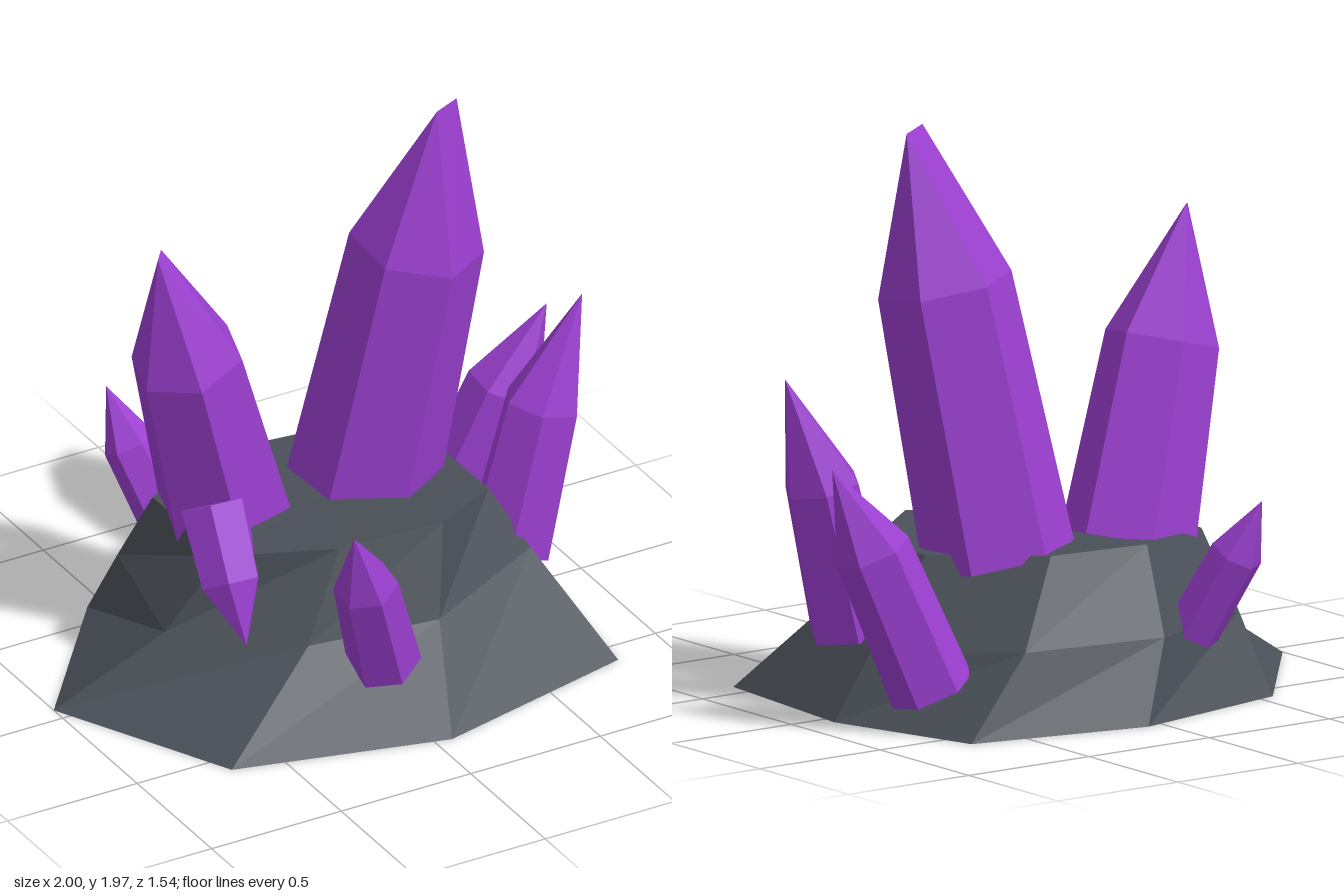
import * as THREE from 'three';

const V = (p) => new THREE.Vector3(...p);

// Skins a stack of equal-length rings with flat facets and caps both ends.
function loft(rings) {
  const pos = [];
  const tri = (a, b, c) => {
    const area = b.clone().sub(a).cross(c.clone().sub(a)).length();
    if (area > 1e-7) for (const p of [a, b, c]) pos.push(p.x, p.y, p.z);
  };
  const n = rings[0].length;
  const mid = (ring) => ring.reduce((s, p) => s.add(p), new THREE.Vector3()).divideScalar(n);
  const last = rings[rings.length - 1];
  const low = mid(rings[0]), high = mid(last);
  for (let j = 0; j < n; j++) {
    const k = (j + 1) % n;
    for (let i = 0; i < rings.length - 1; i++) {
      const a = rings[i], b = rings[i + 1];
      tri(a[j], b[j], a[k]);
      tri(a[k], b[j], b[k]);
    }
    tri(low, rings[0][j], rings[0][k]);
    tri(high, last[k], last[j]);
  }
  const geo = new THREE.BufferGeometry();
  geo.setAttribute('position', new THREE.Float32BufferAttribute(pos, 3));
  geo.computeVertexNormals();
  return geo;
}

// Six-sided crystal: base ring, shoulder ring, then a point or a short ridge.
function crystal({ base, shoulder, tips, r0, r1, phase }) {
  const c0 = V(base), c1 = V(shoulder), ends = tips.map(V);
  const axis = c1.clone().sub(c0).normalize();
  const u = new THREE.Vector3(1, 0, 0).addScaledVector(axis, -axis.x).normalize();
  const v = u.clone().cross(axis);
  const ring = (c, r) => Array.from({ length: 6 }, (_, i) => {
    const a = THREE.MathUtils.degToRad(phase + i * 60);
    return c.clone().addScaledVector(u, r * Math.cos(a)).addScaledVector(v, r * Math.sin(a));
  });
  const top = ring(c1, r1);
  const nearest = (p) => ends.reduce((m, e) => (e.distanceTo(p) < m.distanceTo(p) ? e : m));
  return loft([ring(c0, r0), top, top.map((p) => nearest(p).clone())]);
}

const CRYSTALS = {
  tallCrystal: { base: [0.24, 0.5, -0.14], shoulder: [0.38, 1.43, -0.025], r0: 0.26, r1: 0.23, phase: 28,
    tips: [[0.41, 1.97, 0.06], [0.52, 1.96, 0]] },
  leftCrystal: { base: [-0.26, 0.5, -0.19], shoulder: [-0.44, 1.16, -0.14], r0: 0.23, r1: 0.195, phase: -15,
    tips: [[-0.575, 1.6, -0.1], [-0.54, 1.61, -0.14]] },
  rightFrontCrystal: { base: [0.65, 0.26, 0.125], shoulder: [0.78, 0.77, 0.125], r0: 0.155, r1: 0.135, phase: 0,
    tips: [[0.93, 1.15, 0.13]] },
  rightBackCrystal: { base: [0.665, 0.13, -0.34], shoulder: [0.86, 0.62, -0.27], r0: 0.145, r1: 0.13, phase: 30,
    tips: [[1, 0.91, -0.23]] },
  frontCrystal: { base: [-0.04, 0.19, 0.49], shoulder: [-0.16, 0.56, 0.575], r0: 0.125, r1: 0.11, phase: 30,
    tips: [[-0.245, 0.8, 0.645]] },
  backCrystal: { base: [-0.27, 0.25, -0.54], shoulder: [-0.35, 0.53, -0.68], r0: 0.095, r1: 0.092, phase: 30,
    tips: [[-0.39, 0.72, -0.77]] },
  // Small shard driven point-down through the rim of the rock
  buriedCrystal: { base: [-0.42, 0.66, 0.0], shoulder: [-0.43, 0.43, 0.14], r0: 0.12, r1: 0.11, phase: 0,
    tips: [[-0.44, 0.25, 0.26]] },
};

// Rock contour rings from the ground up
const ROCK = [
  [[-1, 0, -0.06], [-0.56, 0, -0.6], [0.06, 0, -0.74], [0.7, 0, -0.61],
    [0.865, 0, -0.06], [0.805, 0, 0.59], [0.06, 0, 0.77], [-0.68, 0, 0.58]],
  [[-0.64, 0.26, 0.06], [-0.53, 0.27, -0.45], [-0.08, 0.27, -0.64], [0.44, 0.27, -0.56],
    [0.73, 0.22, -0.08], [0.65, 0.32, 0.27], [0.19, 0.27, 0.46], [-0.27, 0.26, 0.38]],
  [[-0.46, 0.535, 0.13], [-0.47, 0.54, -0.32], [-0.14, 0.55, -0.46], [0.23, 0.55, -0.42],
    [0.53, 0.54, -0.12], [0.54, 0.535, 0.18], [0.26, 0.575, 0.36], [-0.11, 0.555, 0.31]],
];

export function createModel() {
  const model = new THREE.Group();
  model.name = 'crystalCluster';
  const rockMat = new THREE.MeshStandardMaterial({ color: 0x4a5058, flatShading: true });
  const crystalMat = new THREE.MeshStandardMaterial({ color: 0x9b3fd0, flatShading: true });
  const add = (name, geo, mat) => {
    const mesh = new THREE.Mesh(geo, mat);
    mesh.name = name;
    model.add(mesh);
  };

  add('rockBase', loft(ROCK.map((ring) => ring.map(V))), rockMat);
  for (const [name, spec] of Object.entries(CRYSTALS)) add(name, crystal(spec), crystalMat);
  return model;
}
